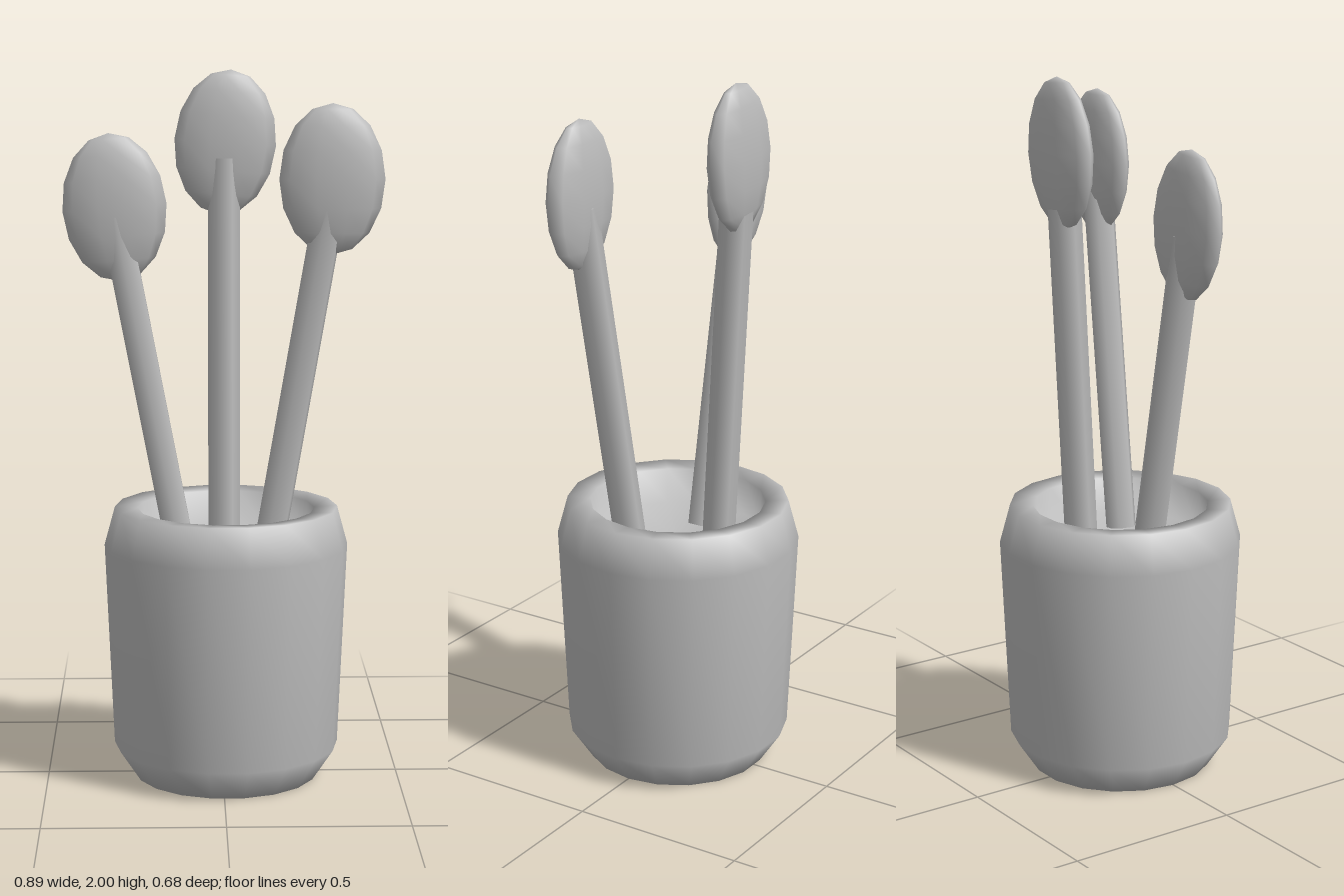
import * as THREE from 'three';

const grey = new THREE.MeshStandardMaterial({ color: 0xbcbcbc });
grey.name = 'grey';

// Hexagonal stick between two points, one flat side facing its lean
function makeStick(from, to, radius) {
  const lean = to.clone().sub(from);
  const geometry = new THREE.CylinderGeometry(radius, radius, lean.length(), 6);
  geometry.rotateY(Math.atan2(-lean.z, lean.x));
  const stick = new THREE.Mesh(geometry, grey);
  stick.name = 'stick';
  stick.position.copy(from).add(to).multiplyScalar(0.5);
  stick.quaternion.setFromUnitVectors(new THREE.Vector3(0, 1, 0), lean.normalize());
  return stick;
}

// Flattened oval head
function makeHead(center, tilt) {
  const geometry = new THREE.SphereGeometry(1, 10, 8);
  geometry.scale(0.145, 0.206, 0.047);
  const head = new THREE.Mesh(geometry, grey);
  head.name = 'head';
  head.position.copy(center);
  head.rotation.z = tilt;
  return head;
}

export function createModel() {
  const model = new THREE.Group();
  model.name = 'potWithPaddles';

  // Rounded pot with a shallow well inside the rim
  const profile = [
    [0, 0], [0.26, 0], [0.32, 0.09], [0.345, 0.67], [0.315, 0.78],
    [0.25, 0.775], [0.245, 0.67], [0, 0.655],
  ].map(([r, y]) => new THREE.Vector2(r, y));
  const pot = new THREE.Mesh(new THREE.LatheGeometry(profile, 18, Math.PI / 2), grey);
  pot.name = 'pot';
  pot.position.x = 0.01;
  model.add(pot);

  // Three paddles: foot of the stick, tip of the stick, head centre, head tilt
  const paddles = [
    { name: 'rightPaddle', foot: [-0.12, 0.66, 0], tip: [-0.3, 1.6, 0], head: [-0.3, 1.625, 0], tilt: 0.08 },
    { name: 'backPaddle', foot: [0.008, 0.66, -0.135], tip: [0.008, 1.75, -0.192], head: [0.012, 1.795, -0.196], tilt: -0.08 },
    { name: 'leftPaddle', foot: [0.125, 0.66, 0.083], tip: [0.298, 1.68, 0.12], head: [0.297, 1.71, 0.122], tilt: 0 },
  ];
  for (const { name, foot, tip, head, tilt } of paddles) {
    const paddle = new THREE.Group();
    paddle.name = name;
    paddle.add(makeStick(new THREE.Vector3(...foot), new THREE.Vector3(...tip), 0.046));
    paddle.add(makeHead(new THREE.Vector3(...head), tilt));
    model.add(paddle);
  }
  return model;
}
